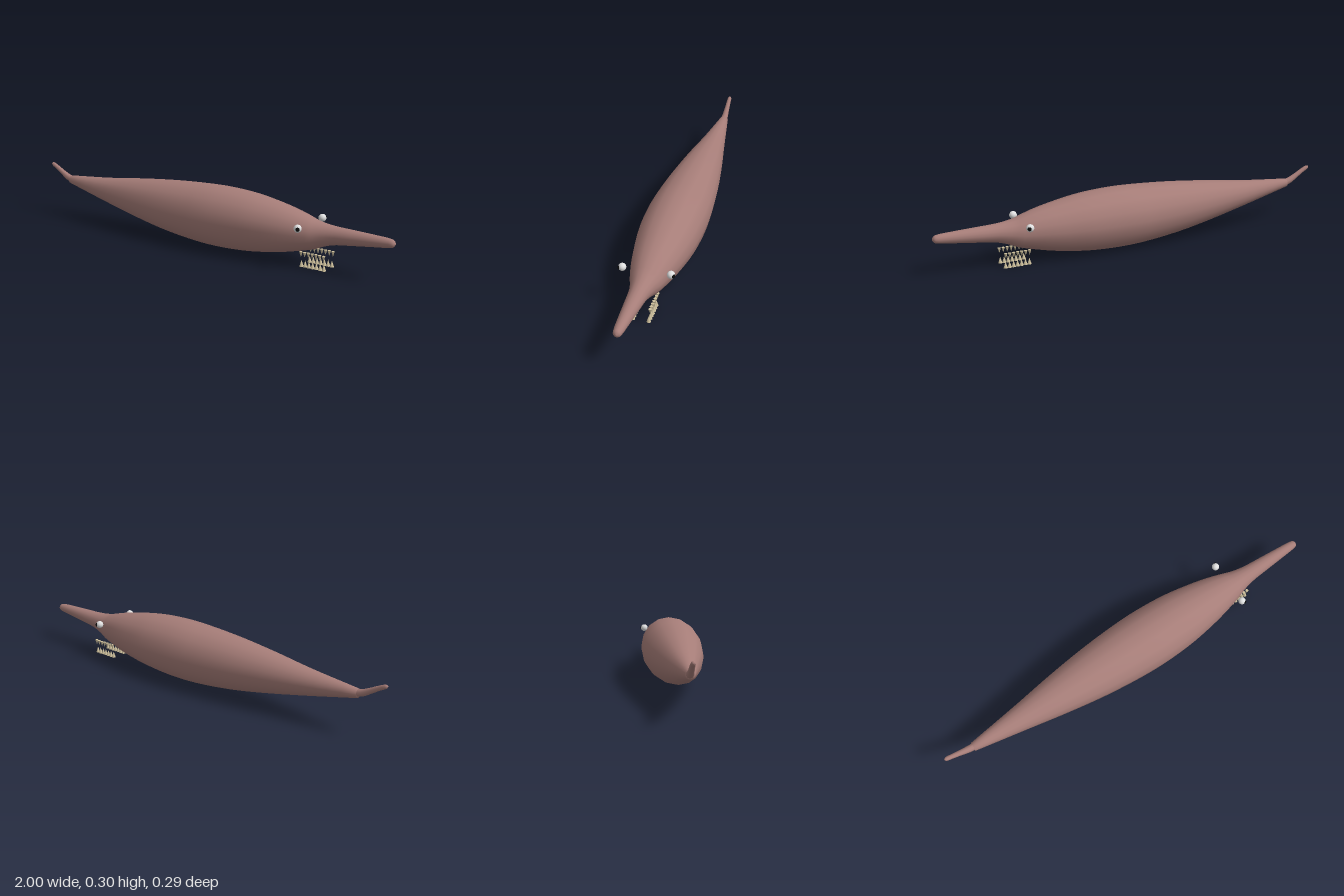
import * as THREE from 'three';

// Smooth round loft along a path of [x, y, radius] stations
function loft(stations, steps, sides) {
  const curve = new THREE.CatmullRomCurve3(stations.map(s => new THREE.Vector3(...s)));
  const rings = [];
  for (let i = 0; i <= steps; i++) {
    const p = curve.getPoint(i / steps);
    const t = curve.getTangent(i / steps).setZ(0).normalize();
    rings.push({ p, t });
  }
  // close both ends with collapsed rings
  const first = rings[0], last = rings[steps];
  rings.unshift({ p: first.p.clone().setZ(0), t: first.t });
  rings.push({ p: last.p.clone().setZ(0), t: last.t });

  const pos = [], index = [];
  rings.forEach(({ p, t }, i) => {
    for (let j = 0; j < sides; j++) {
      const a = j / sides * Math.PI * 2, c = Math.cos(a) * p.z;
      pos.push(p.x - t.y * c, p.y + t.x * c, Math.sin(a) * p.z);
      if (i === rings.length - 1) continue;
      const k = (j + 1) % sides;
      const A = i * sides + j, B = A + sides, C = i * sides + k, D = C + sides;
      index.push(A, C, B, B, C, D);
    }
  });
  const g = new THREE.BufferGeometry();
  g.setAttribute('position', new THREE.Float32BufferAttribute(pos, 3));
  g.setIndex(index);
  g.computeVertexNormals();
  return g;
}

function material(name, color) {
  const m = new THREE.MeshStandardMaterial({ color });
  m.name = name;
  return m;
}

export function createModel() {
  const model = new THREE.Group();
  const skin = material('skin', 0xa67d78);
  const eyeWhite = material('eyeWhite', 0xe0e0e0);
  const black = material('pupilBlack', 0x0c0c0c);
  const ivory = material('toothIvory', 0xcdbf9c);

  const add = (name, geometry, mat, x = 0, y = 0, z = 0, parent = model) => {
    const mesh = new THREE.Mesh(geometry, mat);
    mesh.name = name;
    mesh.position.set(x, y, z);
    parent.add(mesh);
    return mesh;
  };

  // Body flowing into the long snout
  add('body', loft([
    [-0.86, 0.275, 0.021], [-0.6, 0.257, 0.063], [-0.4, 0.248, 0.097],
    [-0.2, 0.24, 0.125], [0, 0.235, 0.142], [0.13, 0.234, 0.145],
    [0.28, 0.233, 0.137], [0.4, 0.232, 0.12], [0.5, 0.232, 0.1],
    [0.6, 0.232, 0.073], [0.65, 0.237, 0.056], [0.71, 0.243, 0.043],
    [0.8, 0.248, 0.035], [0.9, 0.253, 0.027], [0.975, 0.256, 0.02],
    [0.992, 0.256, 0.015], [1, 0.256, 0.004],
  ], 64, 16), skin);

  // Thin upturned tail
  add('tail', loft([
    [-0.85, 0.275, 0.017], [-0.882, 0.284, 0.016], [-0.92, 0.304, 0.013],
    [-0.96, 0.327, 0.011], [-0.99, 0.342, 0.009], [-0.997, 0.345, 0.004],
  ], 20, 10), skin);

  const eyeGeo = new THREE.SphereGeometry(0.018, 16, 12);
  const pupilGeo = new THREE.SphereGeometry(0.01, 12, 8);
  const upperGeo = new THREE.ConeGeometry(0.008, 0.025, 8).rotateX(Math.PI);
  const lowerGeo = new THREE.ConeGeometry(0.01, 0.03, 8);

  for (const side of [1, -1]) {
    const label = side > 0 ? 'front' : 'back';
    // Eyes
    add(label + 'Eye', eyeGeo, eyeWhite, 0.588, 0.279, side * 0.109);
    add(label + 'Pupil', pupilGeo, black, 0.594, 0.279, side * 0.119);
    // Rows of teeth
    const teeth = new THREE.Group();
    teeth.name = label + 'Teeth';
    model.add(teeth);
    for (let i = 0; i < 7; i++) {
      const x = 0.57 + i * 0.019;
      add('upperTooth', upperGeo, ivory, x, 0.142, side * 0.043, teeth);
      add('lowerTooth', lowerGeo, ivory, x, 0.099, side * 0.036, teeth);
    }
  }
  return model;
}
